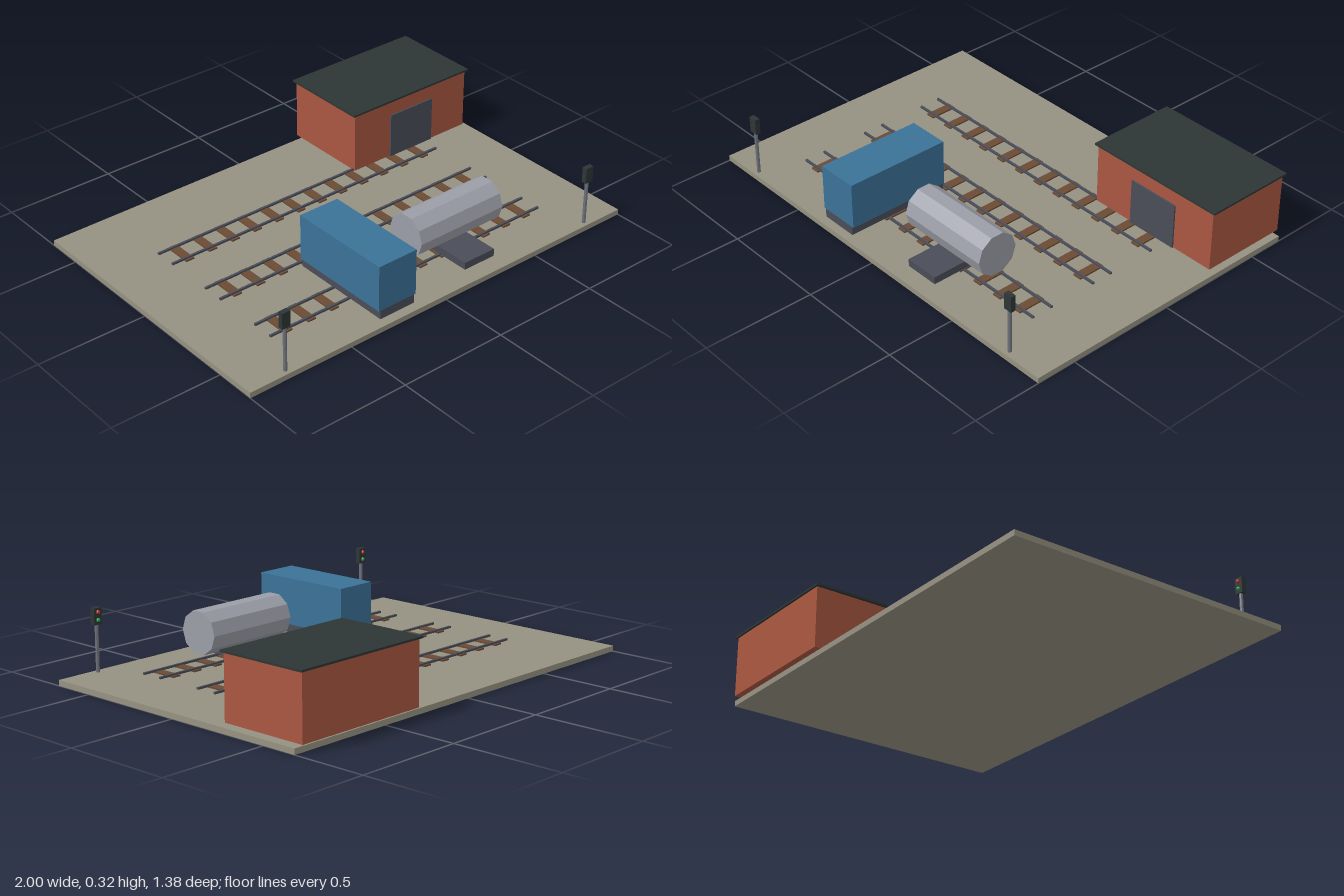
import * as THREE from 'three';

const mat = (name, color) => {
  const m = new THREE.MeshStandardMaterial({ color, flatShading: true });
  m.name = name;
  return m;
};

export function createModel() {
  const ballast = mat('ballast', 0x969181);
  const brick = mat('brick', 0xa95740);
  const roofing = mat('roofing', 0x2d3635);
  const blue = mat('bluePaint', 0x3b7297);
  const silver = mat('silver', 0x9c9ea8);
  const steel = mat('darkSteel', 0x4a4d58);
  const wood = mat('wood', 0x6b4a33);
  const grey = mat('postGrey', 0x6e727a);
  const red = mat('redLamp', 0xc8352b);
  const green = mat('greenLamp', 0x2f9e55);

  const model = new THREE.Group();
  model.name = 'railYard';
  const group = (name) => {
    const g = new THREE.Group();
    g.name = name;
    model.add(g);
    return g;
  };
  const add = (parent, name, geometry, material, x, y, z) => {
    const mesh = new THREE.Mesh(geometry, material);
    mesh.name = name;
    mesh.position.set(x, y, z);
    parent.add(mesh);
    return mesh;
  };
  // Box given by its minimum and maximum corners
  const box = (parent, name, material, [x0, x1], [y0, y1], [z0, z1]) =>
    add(parent, name, new THREE.BoxGeometry(x1 - x0, y1 - y0, z1 - z0), material,
      (x0 + x1) / 2, (y0 + y1) / 2, (z0 + z1) / 2);

  box(model, 'ground', ballast, [-1, 1], [0, 0.025], [-0.663, 0.688]);

  // Three parallel tracks
  for (const z of [-0.233, 0.093, 0.418]) {
    const track = group('track');
    for (let i = 0; i < 12; i++) {
      const x = -0.651 + i * 0.1184;
      box(track, 'sleeper', wood, [x - 0.02, x + 0.02], [0.029, 0.036], [z - 0.064, z + 0.064]);
    }
    for (const side of [-1, 1]) {
      const rz = z + side * 0.049;
      box(track, 'rail', steel, [-0.732, 0.732], [0.034, 0.043], [rz - 0.005, rz + 0.005]);
    }
  }

  // Brick shed
  const shed = group('shed');
  box(shed, 'walls', brick, [0.325, 0.975], [0.036, 0.314], [-0.679, -0.27]);
  box(shed, 'roof', roofing, [0.312, 0.988], [0.314, 0.323], [-0.688, -0.261]);
  box(shed, 'door', steel, [0.529, 0.773], [0.036, 0.245], [-0.27, -0.263]);

  // Box wagon
  const wagon = group('boxWagon');
  box(wagon, 'wagonBody', blue, [-0.342, -0.148], [0.083, 0.293], [0.174, 0.662]);
  box(wagon, 'wagonChassis', steel, [-0.333, -0.157], [0.043, 0.083], [0.174, 0.662]);

  // Ten-sided tank on its chassis
  const tanker = group('tankWagon');
  add(tanker, 'tank', new THREE.CylinderGeometry(0.097, 0.097, 0.452, 10), silver, 0.24, 0.171, 0.418)
    .rotation.z = Math.PI / 2;
  box(tanker, 'tankChassis', steel, [0.159, 0.321], [0.043, 0.077], [0.214, 0.622]);

  // Signals with lamps towards the tracks
  for (const x of [-0.812, 0.812]) {
    const signal = group('signal');
    add(signal, 'post', new THREE.CylinderGeometry(0.008, 0.008, 0.21, 8), grey, x, 0.13, 0.663);
    box(signal, 'head', roofing, [x - 0.02, x + 0.02], [0.23, 0.302], [0.652, 0.675]);
    const lamp = new THREE.SphereGeometry(0.009, 8, 6);
    add(signal, 'redLamp', lamp, red, x, 0.284, 0.65);
    add(signal, 'greenLamp', lamp, green, x, 0.25, 0.65);
  }
  return model;
}
